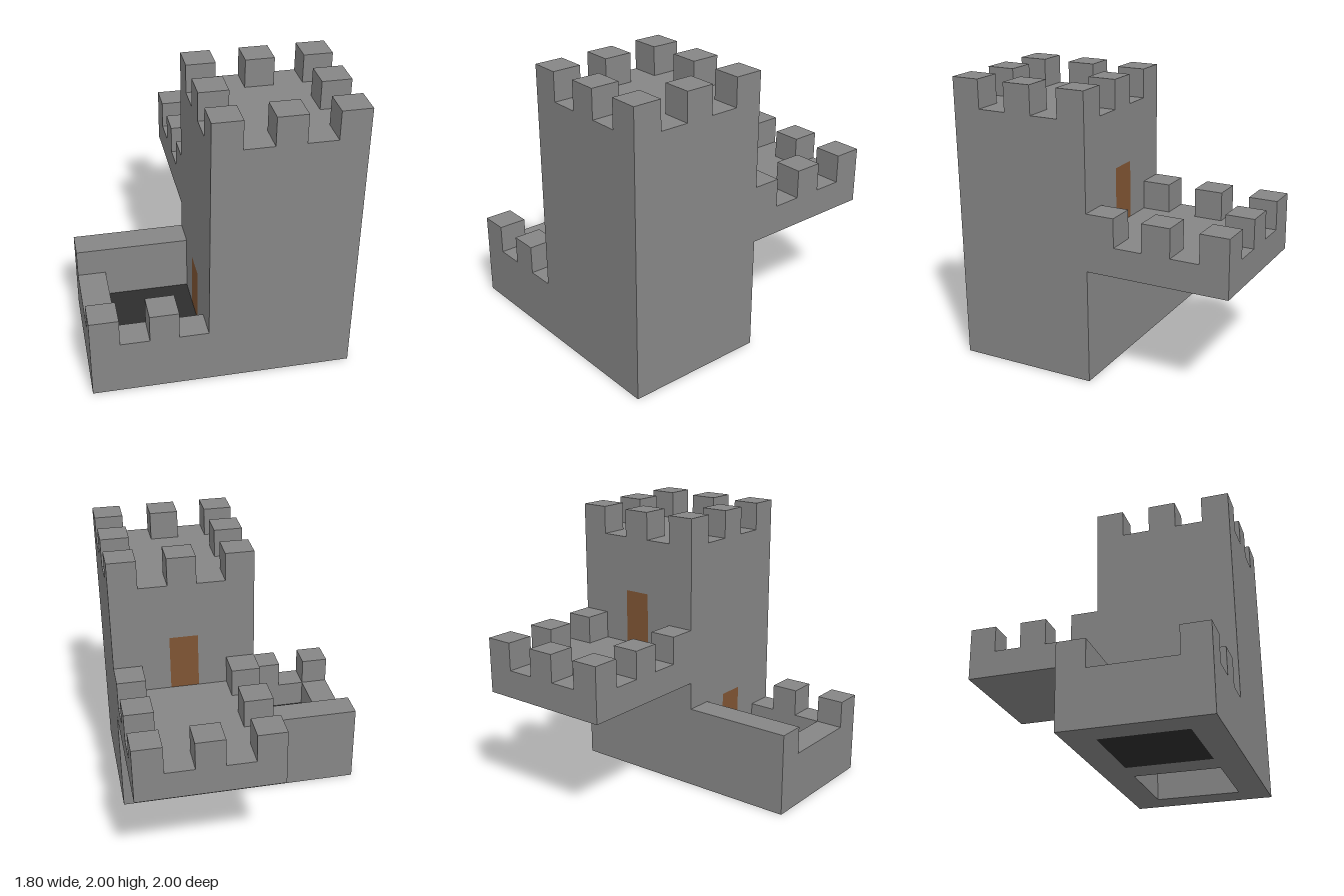
import * as THREE from 'three';

const flat = (name, color) => {
  const m = new THREE.MeshStandardMaterial({ color });
  m.name = name;
  return m;
};

export function createModel() {
  const stone = flat('stone', 0x868686);
  const wood = flat('wood', 0x7f5433);
  const dark = flat('darkGround', 0x2d2d2d);
  const U = 0.2; // block size shared by walls, merlons and slabs

  const group = (name, parent) => {
    const g = new THREE.Group();
    g.name = name;
    parent.add(g);
    return g;
  };

  // Box given by its minimum and maximum corners
  const block = (parent, name, mat, [x0, y0, z0], [x1, y1, z1]) => {
    const mesh = new THREE.Mesh(new THREE.BoxGeometry(x1 - x0, y1 - y0, z1 - z0), mat);
    mesh.position.set((x0 + x1) / 2, (y0 + y1) / 2, (z0 + z1) / 2);
    mesh.name = name;
    parent.add(mesh);
    return mesh;
  };

  // Wall from u0 to u1, one block thick, with a door opening one block wide
  const doorWall = (parent, name, u0, u1, height, doorU, doorY) => {
    const rect = (P, a, b, c, d) => new P([[a, b], [c, b], [c, d], [a, d]].map(p => new THREE.Vector2(...p)));
    const shape = rect(THREE.Shape, u0, 0, u1, height);
    shape.holes.push(rect(THREE.Path, doorU, doorY, doorU + U, doorY + 2 * U));
    const mesh = new THREE.Mesh(new THREE.ExtrudeGeometry(shape, { depth: U, bevelEnabled: false }), stone);
    mesh.name = name;
    parent.add(mesh);
    return mesh;
  };

  const merlon = (parent, x, y, z) => block(parent, 'merlon', stone, [x, y, z], [x + U, y + U, z + U]);

  // Merlons around a square platform one unit wide
  const battlement = (parent, y, z0, openFront) => {
    for (let i = 0; i < 3; i++) {
      for (let j = 0; j < 3; j++) {
        if (i === 1 && (j === 1 || (j === 2 && openFront))) continue;
        merlon(parent, -0.1 + i * 2 * U, y, z0 + j * 2 * U);
      }
    }
  };

  const model = new THREE.Group();
  model.name = 'castle';

  // Hollow tower, open underneath
  const tower = group('tower', model);
  const H = 1.6;
  doorWall(tower, 'towerBackWall', -0.1, 0.9, H, 0.3, 1.0);
  const side = doorWall(tower, 'towerRightWall', 0.2, 1.0, H, 0.4, 0.2);
  side.rotation.y = -Math.PI / 2;
  side.position.x = 0.1;
  block(tower, 'towerFrontWall', stone, [0.1, 0, 0.8], [0.9, H, 1]);
  block(tower, 'towerLeftWall', stone, [0.7, 0, 0.2], [0.9, H, 0.8]);
  block(tower, 'towerRoof', stone, [-0.1, H, 0], [0.9, 1.8, 1]);
  battlement(tower, 1.8, 0, false);

  // Doors fill the openings
  block(tower, 'balconyDoor', wood, [0.3, 1, 0], [0.5, 1.4, 0.2]);
  block(tower, 'courtyardDoor', wood, [-0.1, 0.2, 0.4], [0.1, 0.6, 0.6]);

  // Balcony behind the tower
  const balcony = group('balcony', model);
  block(balcony, 'balconyFloor', stone, [-0.1, 0.8, -1], [0.9, 1, 0]);
  battlement(balcony, 1, -1, true);

  // Low courtyard beside the tower
  const yard = group('courtyard', model);
  block(yard, 'courtyardFloor', dark, [-0.7, 0, 0.2], [-0.1, 0.2, 0.8]);
  block(yard, 'courtyardBackWall', stone, [-0.9, 0, 0], [-0.1, 0.6, 0.2]);
  block(yard, 'courtyardSideWall', stone, [-0.9, 0, 0.2], [-0.7, 0.4, 0.8]);
  block(yard, 'courtyardFrontWall', stone, [-0.9, 0, 0.8], [-0.1, 0.4, 1]);
  for (const x of [-0.9, -0.5]) merlon(yard, x, 0.4, 0.8);

  return model;
}
